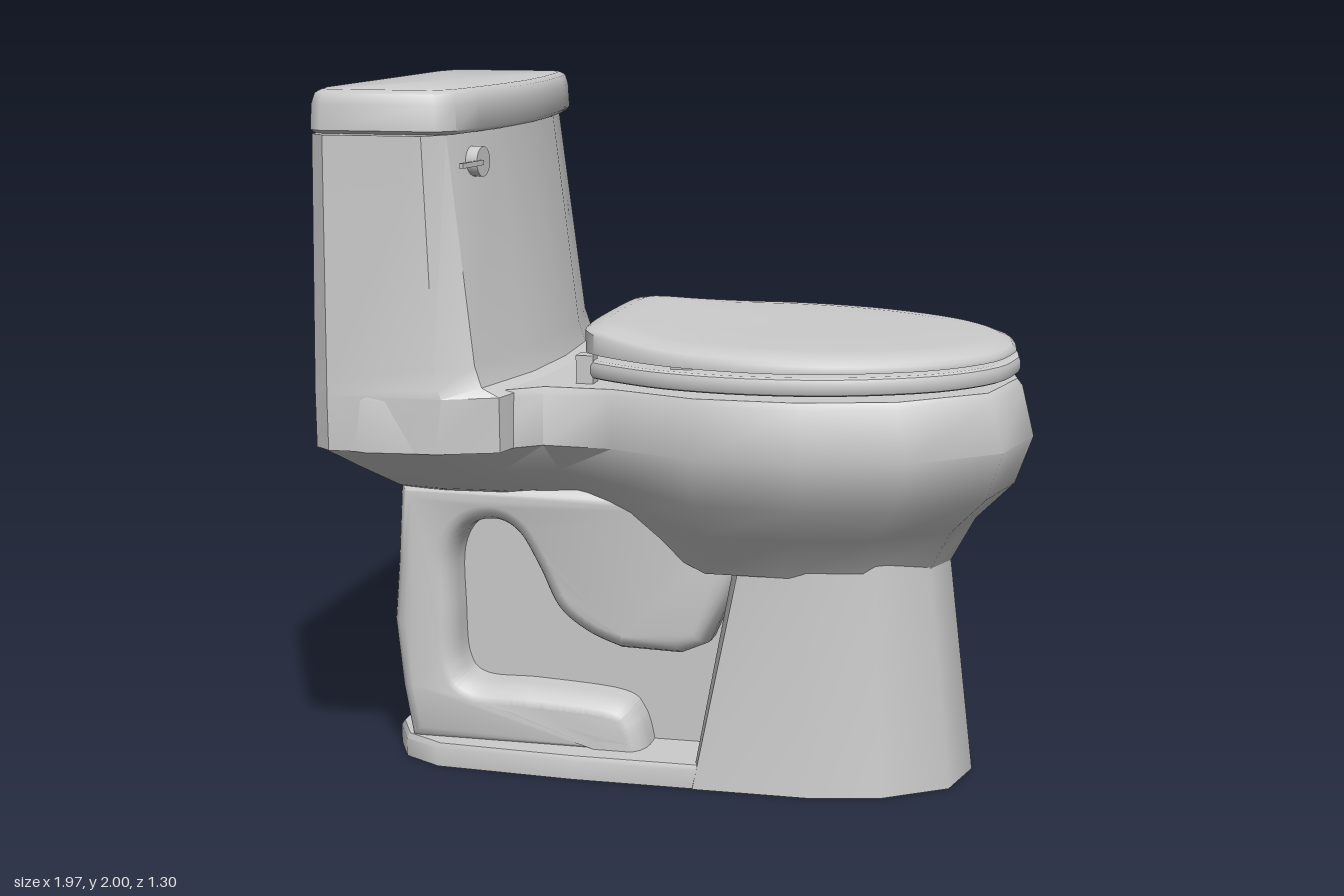
import * as THREE from 'three';
import { toCreasedNormals } from 'three/addons/utils/BufferGeometryUtils.js';

const material = new THREE.MeshStandardMaterial({ color: 0xcccccc, side: THREE.DoubleSide });
const { lerp, smoothstep } = THREE.MathUtils;

function addPart(group, name, geometry, crease = 0.75) {
  const mesh = new THREE.Mesh(toCreasedNormals(geometry, crease), material);
  mesh.name = name;
  group.add(mesh);
  return mesh;
}

// Half outline [x, z, y?] running from front to back, mirrored into a closed ring
function ring(half, y) {
  const right = half.map(([x, z, own]) => [x, own ?? y, z]);
  const left = right.slice(1, -1).reverse().map(([x, h, z]) => [x, h, -z]);
  return [...right, ...left];
}

// Skin through rings listed from bottom to top
function loft(rings, capTop = true, capBottom = false) {
  const n = rings[0].length;
  const points = rings.flat();
  const index = [];
  for (let i = 0; i < rings.length - 1; i++) {
    for (let j = 0; j < n; j++) {
      const a = i * n + j, b = i * n + (j + 1) % n;
      index.push(a, a + n, b, b, a + n, b + n);
    }
  }
  const cap = (r, up) => {
    const c = points.length;
    points.push([0, 1, 2].map(k => rings[r].reduce((s, p) => s + p[k], 0) / n));
    for (let j = 0; j < n; j++) {
      const a = r * n + j, b = r * n + (j + 1) % n;
      index.push(c, up ? b : a, up ? a : b);
    }
  };
  if (capTop) cap(rings.length - 1, true);
  if (capBottom) cap(0, false);
  const g = new THREE.BufferGeometry();
  g.setAttribute('position', new THREE.Float32BufferAttribute(points.flat(), 3));
  g.setIndex(index);
  return g;
}

// Shrinks an outline about a centre on the x axis
const inset = (half, cx, s, t = s) => half.map(([x, z]) => [cx + (x - cx) * s, z * t]);

const vectors = pts => pts.map(([x, y]) => new THREE.Vector2(x, y));

export function createModel() {
  const model = new THREE.Group();
  model.name = 'toilet';

  // Bowl and deck: one widest outline, reshaped per level with the bowl blending into the tank base
  const widest = [[.98, 0], [.92, .27], [.68, .475], [.4, .55], [.1, .55], [-.15, .45], [-.35, .44],
    [-.5, .56], [-.6, .63], [-.8, .65], [-.95, .6], [-.98, 0]];
  const bodyRing = ([bowlY, reach, bowlWidth, tankY, back, tankWidth]) => ring(widest.map(([x, z]) => {
    const t = smoothstep(-x, -.1, .5);
    return [
      x > .1 ? .1 + (x - .1) * (reach - .1) / .88 : x * back / .98,
      z * lerp(bowlWidth / .55, tankWidth / .65, t),
      lerp(bowlY, tankY, t),
    ];
  }));
  addPart(model, 'bowlBody', loft([
    [.63, .75, .31, .81, .84, .22],
    [.76, .82, .4, .84, .86, .31],
    [.87, .93, .5, .93, .92, .5],
    [1.01, .98, .55, 1.01, .98, .65],
    [1.155, .945, .53, 1.155, .98, .645],
    [1.175, .93, .52, 1.175, .97, .635],
  ].map(bodyRing)));

  // Pedestal, hollow underneath
  const foot = [[.825, 0], [.78, .19], [.6, .315], [.4, .36], [.06, .36], [.05, .33], [.05, 0]];
  const neck = [[.75, 0], [.71, .16], [.57, .27], [.38, .31], [.18, .3], [.16, .27], [.16, 0]];
  addPart(model, 'pedestal', loft([ring(foot, 0), ring(neck, .64), ring(neck, .74)], false));

  // Floor flange behind the pedestal
  const flange = [[.1, 0], [.1, .355], [-.3, .355], [-.72, .33], [-.84, .26], [-.9, .14], [-.9, 0]];
  addPart(model, 'baseFlange', loft([
    ring(flange, 0), ring(flange, .055), ring(inset(flange, -.4, .98), .07),
  ]));

  // Recessed web between the pedestal and the rear column
  const web = addPart(model, 'recessedPanel', new THREE.BoxGeometry(.9, .7, .28));
  web.position.set(-.31, .4, 0);

  // Trapway relief: rear column, S-bend and foot
  const trap = new THREE.Shape(vectors([[-.83, .05], [-.86, .22], [-.88, .42], [-.865, .6], [-.85, .85], [.1, .85],
    [.2, .72], [.15, .56], [.08, .4], [0, .365], [-.18, .37]]));
  trap.splineThru(vectors([[-.28, .41], [-.37, .48], [-.43, .6], [-.49, .7], [-.56, .735], [-.64, .71], [-.685, .62],
    [-.685, .45], [-.675, .3], [-.62, .24], [-.45, .235], [-.2, .215], [-.13, .16], [-.1, .05]]));
  const trapGeometry = new THREE.ExtrudeGeometry(trap, {
    depth: .4, bevelThickness: .08, bevelSize: .05, bevelOffset: -.05, bevelSegments: 4, curveSegments: 30,
  });
  trapGeometry.translate(0, 0, -.2);
  addPart(model, 'trapway', trapGeometry, .9);

  // Tank with bowed front, flaring into the deck
  const tankRing = ([y, front, side, width, back]) => ring([[front, 0], [front - .015, .28],
    [front - .075, width - .07], [side, width - .005], [-.91, width], [back + .02, width - .04], [back, 0]], y);
  addPart(model, 'tank', loft([
    [1.01, -.36, -.6, .64, -.98],
    [1.165, -.36, -.58, .642, -.98],
    [1.19, -.41, -.59, .64, -.98],
    [1.25, -.43, -.6, .638, -.98],
    [1.88, -.505, -.63, .62, -.975],
  ].map(tankRing)), .6);

  // Tank cover
  const cover = [[-.495, 0], [-.505, .2], [-.53, .42], [-.555, .56], [-.6, .61], [-.93, .615],
    [-.965, .59], [-.985, .5], [-.985, 0]];
  const coverMesh = addPart(model, 'tankCover', loft([
    [1.88, .97, .97], [1.89, 1, 1], [1.96, .985, .995], [1.99, .95, .98], [2, .88, .95],
  ].map(([y, s, t]) => ring(inset(cover, -.75, s, t), y)), true, true), .9);
  coverMesh.position.z = -.025;

  // Flush lever: round pivot and thin arm
  const lever = new THREE.Group();
  lever.name = 'flushLever';
  const pivot = addPart(lever, 'leverPivot', new THREE.CylinderGeometry(.042, .042, .035, 20));
  pivot.rotation.z = Math.PI / 2;
  const arm = addPart(lever, 'leverArm', new THREE.BoxGeometry(.012, .014, .13));
  arm.position.set(.015, -.002, .07);
  lever.position.set(-.53, 1.8, .43);
  lever.rotation.y = -.14;
  model.add(lever);

  // Smooth oval shared by the seat and its lid
  const curve = new THREE.SplineCurve(vectors([[.925, 0], [.885, .19], [.74, .37], [.5, .49], [.25, .525],
    [.02, .49], [-.15, .41], [-.24, .34], [-.27, .25], [-.275, 0]]));
  const oval = curve.getPoints(36).map(p => [p.x, p.y]);

  // Seat: ring with an oval opening
  const seat = new THREE.Shape(vectors(ring(inset(oval, .32, 1.02, 1), 0).map(([x, , z]) => [x, z])));
  const opening = new THREE.Path();
  opening.absellipse(.36, 0, .38, .32, 0, Math.PI * 2, true);
  seat.holes.push(opening);
  const seatGeometry = new THREE.ExtrudeGeometry(seat, {
    depth: .02, bevelThickness: .016, bevelSize: .015, bevelOffset: -.015, bevelSegments: 2, curveSegments: 24,
  });
  seatGeometry.rotateX(-Math.PI / 2);
  seatGeometry.translate(0, 1.205, 0);
  addPart(model, 'seat', seatGeometry);

  // Lid: gently domed, rising to a ridge at the hinge
  const lidTop = x => 1.29 + .022 * (1 - x) + .035 * Math.max(0, (.1 - x) / .37) ** 2;
  const lidRing = ([s, drop]) => ring(inset(oval, .32, s).map(([x, z]) => [x, z, lidTop(x) - drop]));
  const underside = s => ring(inset(oval, .32, s).map(([x, z]) => [x, z, 1.252 + .012 * Math.max(0, .3 - x)]));
  const dome = [[1, .03], [.98, .018], [.92, .005], [.8, 0], [.4, 0]];
  addPart(model, 'lid', loft([underside(.97), underside(1), ...dome.map(lidRing)], true, true), .9);

  // Hinges and small bumpers carrying the seat
  for (const side of [-1, 1]) {
    const hinge = addPart(model, 'hinge', new THREE.BoxGeometry(.05, .09, .05));
    hinge.position.set(-.25, 1.21, side * .335);
    const bumper = addPart(model, 'seatBumper', new THREE.BoxGeometry(.06, .03, .03));
    bumper.position.set(.05, 1.243, side * .43);
  }
  return model;
}
